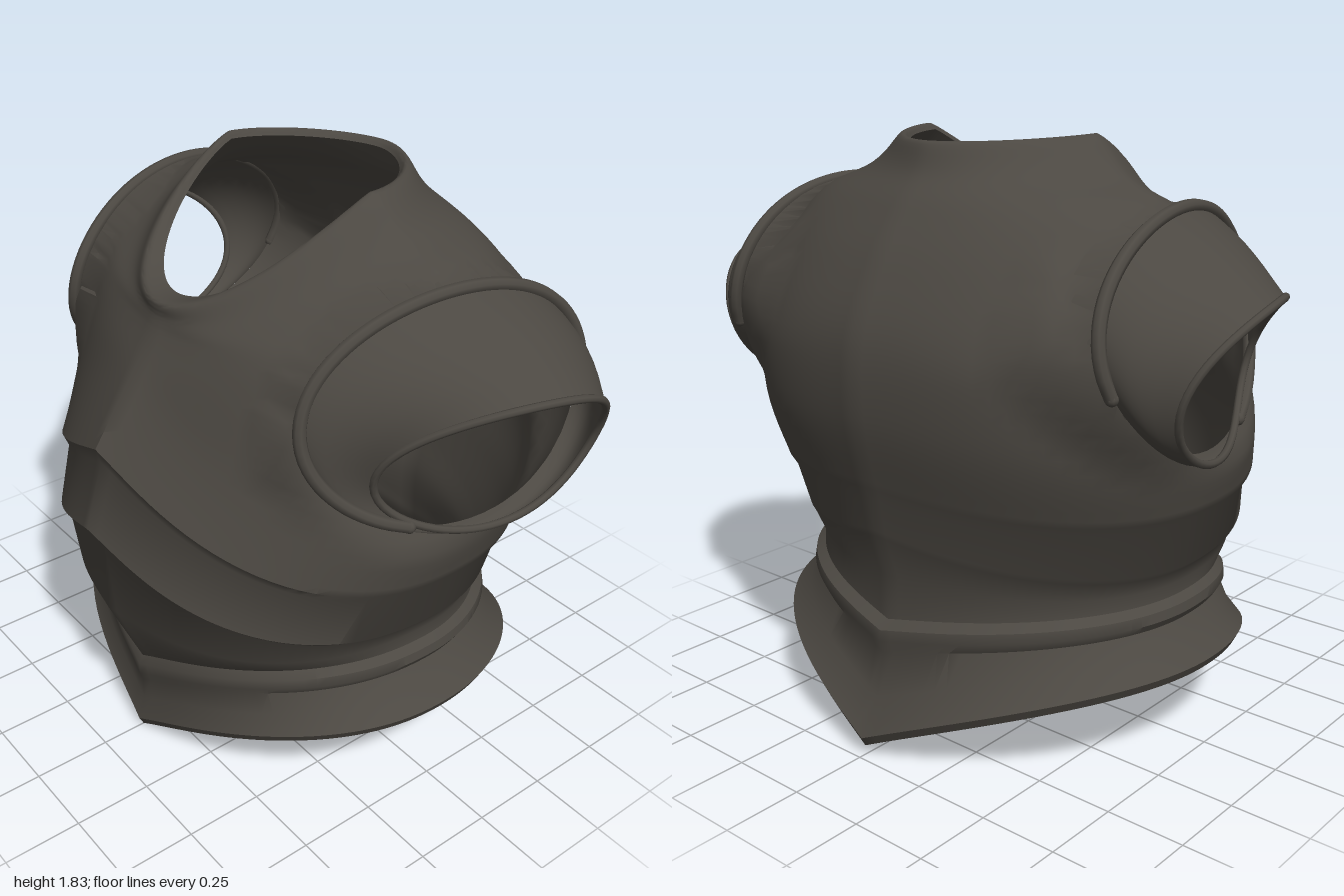
import * as THREE from 'three';
import { toCreasedNormals } from 'three/addons/utils/BufferGeometryUtils.js';

const metal = new THREE.MeshStandardMaterial({ color: 0x4c4842, side: THREE.DoubleSide });
metal.name = 'dark steel';

// Torso levels, bottom to top: frontY, frontZ, sideY, sideX, sideZ, backY, backZ
const LEVELS = [
  [0.05, 0.56, 0.32, 0.74, -0.03, 0.09, -0.69], // inside of the hem
  [0.01, 0.60, 0.29, 0.765, -0.03, 0.04, -0.725],
  [0.04, 0.615, 0.32, 0.78, -0.03, 0.07, -0.74],
  [0.12, 0.59, 0.37, 0.725, -0.03, 0.18, -0.67],
  [0.20, 0.59, 0.43, 0.685, -0.03, 0.32, -0.64],
  [0.23, 0.60, 0.455, 0.70, -0.03, 0.36, -0.655], // belt ridge
  [0.27, 0.60, 0.485, 0.695, -0.03, 0.395, -0.65],
  [0.30, 0.585, 0.505, 0.67, -0.03, 0.42, -0.615],
  [0.55, 0.695, 0.545, 0.67, -0.03, 0.56, -0.61],
  [0.84, 0.72, 0.59, 0.685, -0.03, 0.70, -0.655],
  [0.87, 0.745, 0.61, 0.705, -0.03, 0.72, -0.66], // lower plate lip
  [1.08, 0.68, 0.77, 0.735, -0.03, 0.83, -0.68],
  [1.13, 0.695, 0.80, 0.765, -0.03, 0.86, -0.69], // chest plate lip
  [1.30, 0.58, 1.00, 0.80, -0.04, 1.08, -0.735],
  [1.38, 0.525, 1.25, 0.76, -0.06, 1.30, -0.725],
  [1.43, 0.495, 1.50, 0.72, -0.08, 1.50, -0.635],
  [1.47, 0.475, 1.65, 0.63, -0.08, 1.65, -0.53],
  [1.50, 0.465, 1.73, 0.46, -0.07, 1.74, -0.45],
  [1.54, 0.46, 1.84, 0.345, -0.05, 1.825, -0.41], // collar rim
  [1.545, 0.39, 1.825, 0.315, -0.04, 1.81, -0.38],
];
const LAST = LEVELS[LEVELS.length - 1];
// Smooth inner wall, a plate's thickness inside the outer one
const LINER = [
  LEVELS[0],
  [0.18, 0.545, 0.43, 0.655, -0.03, 0.32, -0.60],
  [0.30, 0.555, 0.505, 0.64, -0.03, 0.42, -0.585],
  [0.55, 0.66, 0.56, 0.645, -0.03, 0.57, -0.585],
  [0.87, 0.695, 0.63, 0.66, -0.03, 0.72, -0.625],
  [1.13, 0.655, 0.80, 0.73, -0.03, 0.86, -0.66],
  ...LEVELS.slice(13, 18).map(([yf, zf, ys, xs, zs, yb, zb]) =>
    [yf, zf - 0.03, ys - 0.015, xs - 0.03, zs, yb - 0.01, zb + 0.03]),
  LAST,
];
const SEG = 112;

// Surface grid that closes around i; skip(i, j) leaves a cell open
function grid(cols, rows, point, skip = () => false) {
  const pos = [], index = [];
  for (let j = 0; j < rows; j++) for (let i = 0; i < cols; i++) pos.push(...point(i, j));
  for (let j = 0; j < rows - 1; j++) for (let i = 0; i < cols; i++) {
    if (skip(i, j)) continue;
    const k = (i + 1) % cols;
    const a = j * cols + i, b = j * cols + k, c = b + cols, d = a + cols;
    index.push(a, b, c, a, c, d);
  }
  const g = new THREE.BufferGeometry();
  g.setAttribute('position', new THREE.Float32BufferAttribute(pos, 3));
  g.setIndex(index);
  return toCreasedNormals(g, 0.7);
}

function addMesh(parent, name, geometry) {
  const m = new THREE.Mesh(geometry, metal);
  m.name = name;
  parent.add(m);
}

// Armhole edge on the torso and the sleeve mouth, for the +x side
const HOLE = { z: -0.07, y: 1.325, rz: 0.46, ry: 0.335 };
function armhole(a) {
  const c = Math.cos(a), s = Math.sin(a);
  return new THREE.Vector3(0.6825 - 0.065 * s - 0.07 * c - 0.0325 * Math.cos(2 * a),
    HOLE.y + HOLE.ry * s, HOLE.z + HOLE.rz * c);
}
function mouth(a) {
  const c = Math.cos(a), s = Math.sin(a);
  return new THREE.Vector3(0.855 + 0.08 * s - 0.1 * c - 0.05 * Math.cos(2 * a),
    1.21 + 0.235 * s, -0.095 + 0.335 * c);
}
// Band path, lying on the outside of the armhole edge
function band(a) {
  const p = armhole(a);
  return p.set(p.x + 0.006, p.y, p.z + 0.014 * Math.cos(a));
}

// Point of one torso level at angle phi (0 = front, +x next)
function torsoPoint([yf, zf, ys, xs, zs, yb, zb], phi) {
  const s = Math.sin(phi), c = Math.cos(phi), as = Math.abs(s), ac = Math.abs(c);
  const front = c > 0;
  const chest = Math.max(0, 1 - Math.abs(ys - 1.2) / 0.6);
  const neck = THREE.MathUtils.smoothstep(ys, 1.6, 1.8);
  const n = THREE.MathUtils.lerp(front ? 2.25 : 2.05 + 0.6 * chest, front ? 1.9 : 1.65, neck);
  const r = 1 / Math.pow(as ** n + ac ** n, 1 / n);
  // Pointed chevrons low down, rounded curves near the neck
  const w = THREE.MathUtils.smoothstep(ys, 0.8, 1.4);
  const chevron = Math.max(0, 1 - as * r) ** (ys < 0.52 ? 1.4 : 1);
  const f = (1 - w) * chevron + w * ac ** 1.15;
  const y = ys + ((front ? yf : yb) - ys) * f;
  const ridge = 1 - 0.04 * (1 - neck) * (1 - Math.exp(-5 * as));
  return [xs * s * r, y, zs + ((front ? zf : zb) - zs) * ac * r * ridge];
}

// Wall through the levels: sharp steps below smoothFrom, smooth curves above
function torsoWall(levels, smoothFrom) {
  const rows = levels.slice(0, smoothFrom);
  const last = levels.length - 1;
  const at = (k) => levels[Math.min(last, Math.max(smoothFrom, k))];
  for (let k = smoothFrom; k < last; k++) for (let q = 0; q < 6; q++) {
    const t = q / 6;
    rows.push(at(k).map((p1, e) => {
      const p0 = at(k - 1)[e], p2 = at(k + 1)[e], p3 = at(k + 2)[e];
      return p1 + 0.5 * t * (p2 - p0 + t * (2 * p0 - 5 * p1 + 4 * p2 - p3 + t * (3 * (p1 - p2) + p3 - p0)));
    }));
  }
  rows.push(LAST);

  // Pull points inside an armhole out to its edge
  const inside = new Set();
  const point = (i, j) => {
    const p = torsoPoint(rows[j], (i / SEG) * Math.PI * 2);
    if (Math.abs(p[0]) < 0.45) return p;
    const u = (p[2] - HOLE.z) / HOLE.rz, v = (p[1] - HOLE.y) / HOLE.ry;
    const d = Math.hypot(u, v), a = Math.atan2(v, u), side = Math.sign(p[0]);
    const e = armhole(a);
    if (d < 1) {
      inside.add(j * SEG + i);
      return [side * e.x, e.y, e.z];
    }
    if (d < 1.25) {
      const w = (1 - (d - 1) / 0.25) * THREE.MathUtils.clamp(1 - 1.4 * Math.sin(a), 0, 1);
      p[0] += (side * e.x - p[0]) * w;
    }
    return p;
  };
  return grid(SEG, rows.length, point, (i, j) => {
    const k = (i + 1) % SEG;
    return [[i, j], [k, j], [k, j + 1], [i, j + 1]].every(([x, y]) => inside.has(y * SEG + x));
  });
}

function tube(fn, from, to, side, radius, closed) {
  const pts = [];
  const n = 28;
  for (let i = 0; i < (closed ? n : n + 1); i++) {
    const p = fn(from + ((to - from) * i) / n);
    p.x *= side;
    pts.push(p);
  }
  return new THREE.TubeGeometry(new THREE.CatmullRomCurve3(pts, closed), 64, radius, 8, closed);
}

function makeSleeve(side) {
  const g = new THREE.Group();
  g.name = side > 0 ? 'leftSleeve' : 'rightSleeve';
  const cols = 64, rows = 8;
  // Slightly bulged cap from the armhole to the mouth
  addMesh(g, 'sleeveCap', grid(cols, rows, (i, j) => {
    const a = (-side * i * Math.PI * 2) / cols, t = j / (rows - 1);
    const p = armhole(a).lerp(mouth(a), t);
    const bulge = Math.sin(Math.PI * t);
    return [side * p.x, p.y + 0.016 * bulge * Math.sin(a), p.z + 0.03 * bulge * Math.cos(a)];
  }));
  addMesh(g, 'sleeveMouthRim', tube(mouth, 0, Math.PI * 2, side, 0.012, true));
  // Raised band from under the arm, over the shoulder, to the back
  const start = -Math.PI * 0.36, end = Math.PI * 1.1;
  addMesh(g, 'shoulderBand', tube(band, start, end, side, 0.02, false));
  for (const a of [start, end]) {
    const cap = new THREE.SphereGeometry(0.02, 10, 8);
    const p = band(a);
    cap.translate(side * p.x, p.y, p.z);
    addMesh(g, 'shoulderBandEnd', cap);
  }
  return g;
}

export function createModel() {
  const model = new THREE.Group();
  model.name = 'breastplate';
  addMesh(model, 'outerWall', torsoWall(LEVELS, 12));
  addMesh(model, 'innerWall', torsoWall(LINER, 0));
  model.add(makeSleeve(1), makeSleeve(-1));
  return model;
}
